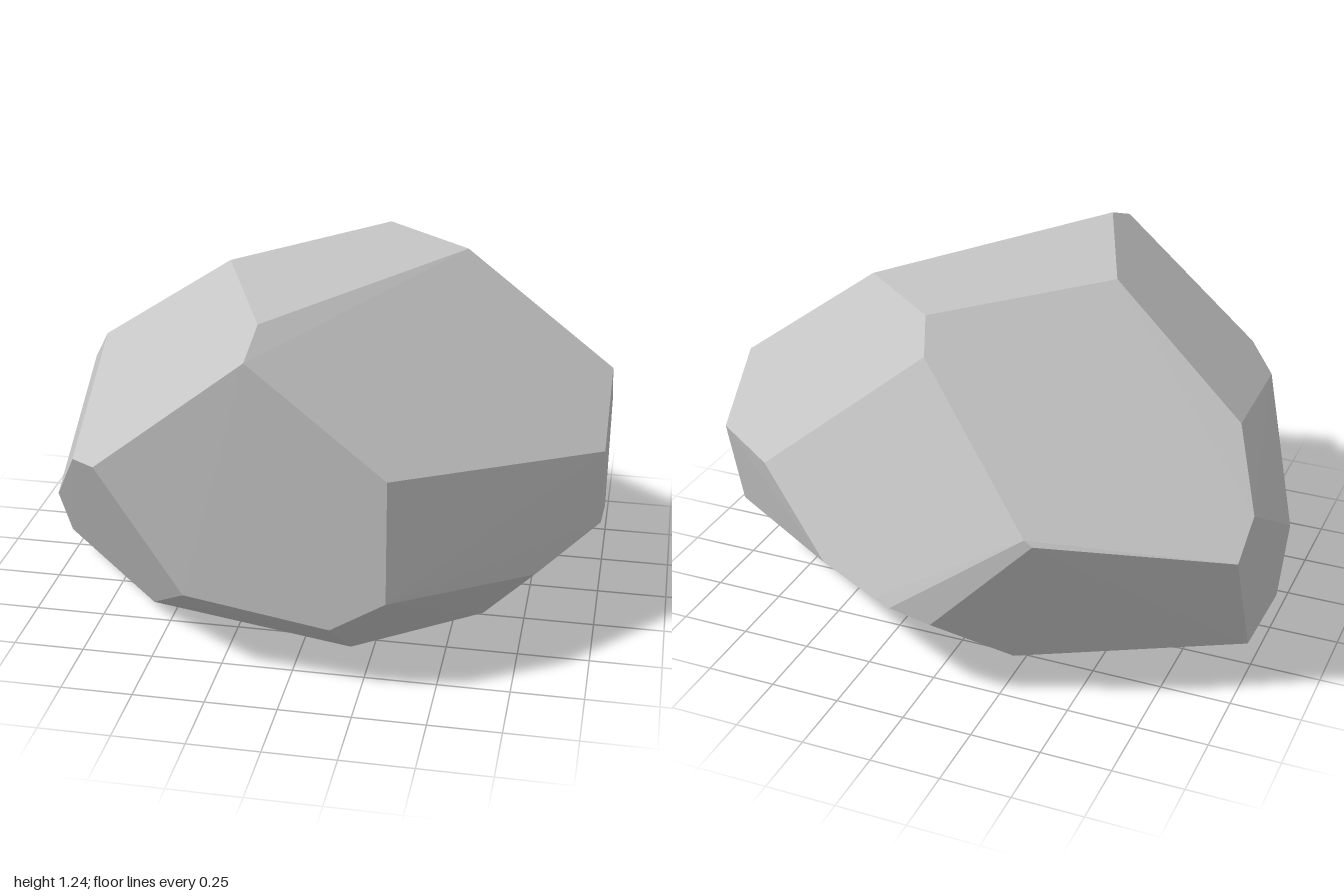
import * as THREE from 'three';
import { ConvexGeometry } from 'three/addons/geometries/ConvexGeometry.js';

// Faceted boulder: a convex solid spanned by the corners of its cut planes
export function createModel() {
  const stone = new THREE.MeshStandardMaterial({ color: 0xc5c5c5 });
  stone.name = 'stone grey';

  const corners = [
    // flat top
    [-0.35, 1.237, 0.08], [0.14, 1.237, -0.45], [0.46, 1.237, -0.195], [-0.12, 1.237, 0.67],
    // front facet
    [-0.13, 1.17, 0.84], [0.34, 0.81, 0.875], [0.34, 0.365, 0.875],
    [0.15, 0.24, 0.862], [-0.36, 0.30, 0.825], [-0.66, 0.74, 0.80],
    // +x facet
    [1, 0.66, 0.19], [1, 0.83, -0.16], [1, 0.61, -0.375],
    [1, 0.255, -0.28], [1, 0.228, -0.245], [1, 0.38, 0.185],
    // -x facet and its shoulder
    [-1, 0.655, -0.34], [-1, 0.566, -0.513], [-1, 0.126, -0.31],
    [-1, 0.10, 0.066], [-1, 0.32, 0.20], [-0.87, 0.856, -0.09], [-0.78, 0.69, 0.65],
    // back facets
    [0.09, 1.147, -0.575], [0.72, 0.62, -0.585], [0.40, 0.39, -0.77], [0.17, 0.35, -0.853],
    [0.10, 0.34, -0.875], [-0.05, 0.31, -0.875], [-0.418, 0.70, -0.875], [-0.39, 0.72, -0.875],
    // underside and its front edge
    [0.79, 0.26, 0.39], [0.17, 0, 0.56], [0.60, 0, 0.24], [0.76, 0.018, -0.16],
    [0.37, 0.058, -0.41], [-0.267, 0.108, -0.665], [-0.57, 0.047, 0.46],
  ].map((p) => new THREE.Vector3(...p));

  const boulder = new THREE.Mesh(new ConvexGeometry(corners), stone);
  boulder.name = 'boulder';

  const group = new THREE.Group();
  group.name = 'rock';
  group.add(boulder);
  return group;
}
